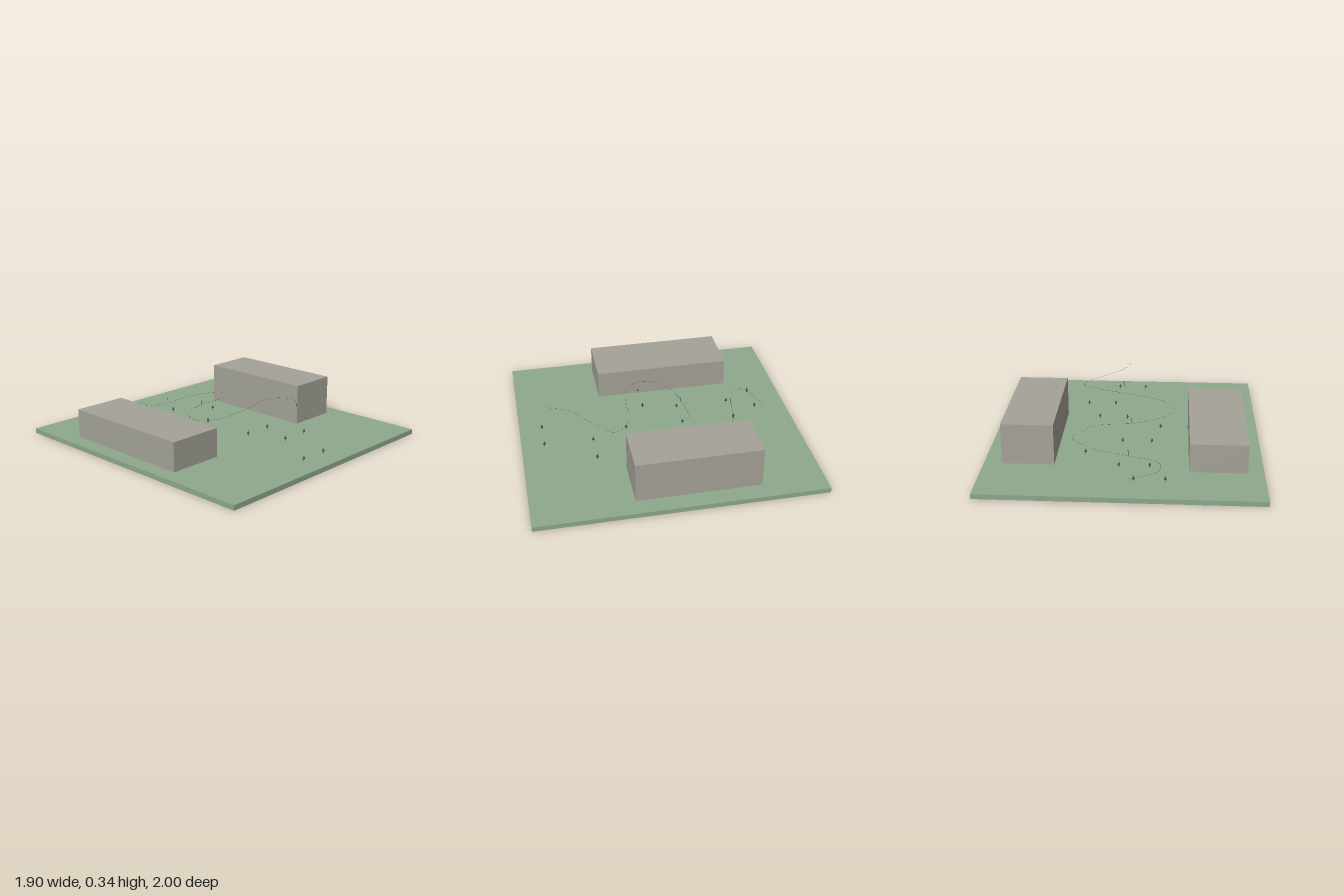
import * as THREE from 'three';

const mat = (color) => new THREE.MeshStandardMaterial({ color });

function add(parent, name, geometry, material, x, y, z) {
  const mesh = new THREE.Mesh(geometry, material);
  mesh.name = name;
  mesh.position.set(x, y, z);
  parent.add(mesh);
  return mesh;
}

export function createModel() {
  const model = new THREE.Group();
  model.name = 'courseDiorama';
  const grass = mat(0x8fa88c), stone = mat(0xa5a398), leaf = mat(0x35503a), wood = mat(0x5a4a3a), dark = mat(0x444444);
  const ground = 0.035;

  // Ground slab
  add(model, 'ground', new THREE.BoxGeometry(1.9, ground, 2), grass, 0, ground / 2, 0);

  // Two long buildings flanking the course
  const building = (name, x0, x1, z0, z1, top) =>
    add(model, name, new THREE.BoxGeometry(x1 - x0, top - ground, z1 - z0), stone,
      (x0 + x1) / 2, (top + ground) / 2, (z0 + z1) / 2);
  building('rightBuilding', -0.84, -0.447, -0.62, 0.368, 0.24);
  building('leftBuilding', 0.467, 0.823, -0.557, 0.308, 0.326);

  // Pairs of small trees either side of the winding path
  const crown = new THREE.ConeGeometry(0.01, 0.024, 8);
  const trunk = new THREE.CylinderGeometry(0.0025, 0.0025, 0.018, 6);
  const pairs = [[-0.185, -0.765], [-0.078, -0.57], [0.373, -0.38], [-0.082, -0.185],
    [-0.347, 0.065], [0.115, 0.232], [0.22, 0.49], [-0.002, 0.838]];
  for (const [x, z] of pairs) {
    for (const side of [-1, 1]) {
      const tree = new THREE.Group();
      tree.name = 'tree';
      tree.position.set(x + side * 0.104, ground, z);
      add(tree, 'trunk', trunk, wood, 0, 0.009, 0);
      add(tree, 'crown', crown, leaf, 0, 0.028, 0);
      model.add(tree);
    }
  }

  // Hair-thin track winding down from front to back
  const track = new THREE.CatmullRomCurve3([
    [0, 0.29, 0.8], [0.06, 0.28, 0.64], [0.2, 0.27, 0.52], [0.35, 0.262, 0.36], [0.22, 0.27, 0.24],
    [0, 0.24, 0.23], [-0.25, 0.21, 0.18], [-0.345, 0.2, 0.06], [-0.28, 0.2, -0.08], [-0.08, 0.19, -0.185],
    [0.2, 0.18, -0.22], [0.31, 0.17, -0.31], [0.36, 0.16, -0.39], [0.2, 0.14, -0.52], [-0.04, 0.12, -0.57],
    [-0.25, 0.105, -0.64], [-0.24, 0.09, -0.73], [-0.06, 0.08, -0.82],
  ].map((p) => new THREE.Vector3(...p)));
  add(model, 'track', new THREE.TubeGeometry(track, 160, 0.0006, 4), dark, 0, 0, 0);

  // Slender markers with a short arm, standing above the track
  for (const [x, y, z] of [[0.035, 0.3, 0.23], [-0.042, 0.185, -0.185], [-0.037, 0.12, -0.565]]) {
    const marker = new THREE.Group();
    marker.name = 'marker';
    marker.position.set(x, y, z);
    add(marker, 'post', new THREE.BoxGeometry(0.002, 0.038, 0.002), dark, 0, 0.019, 0);
    add(marker, 'arm', new THREE.BoxGeometry(0.008, 0.002, 0.002), dark, 0.004, 0.037, 0);
    model.add(marker);
  }
  return model;
}
